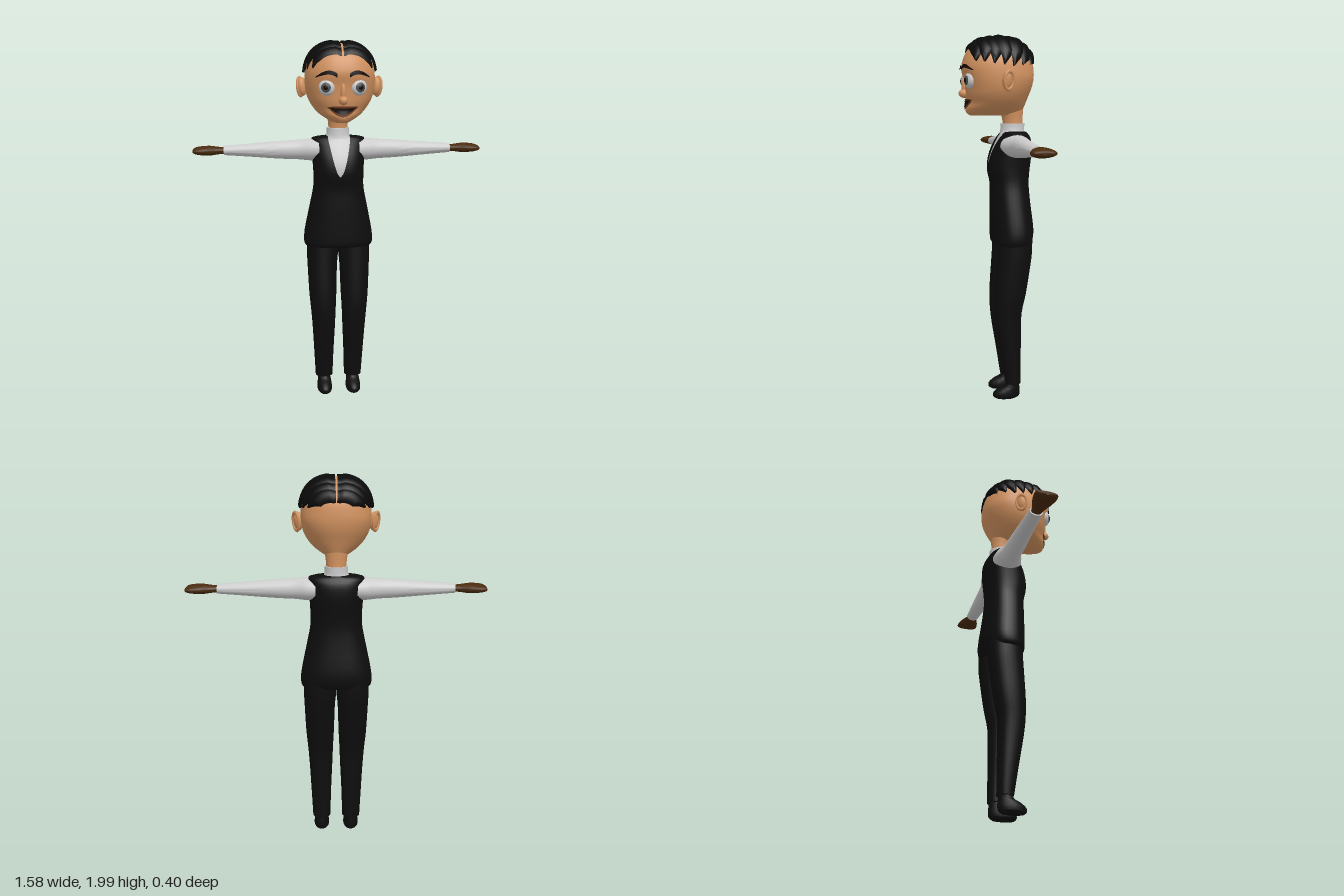
import * as THREE from 'three';
import { toCreasedNormals } from 'three/addons/utils/BufferGeometryUtils.js';

const mat = (color) => new THREE.MeshStandardMaterial({ color, side: THREE.DoubleSide, roughness: 0.9 });
const SKIN = mat(0xd2925f), BLACK = mat(0x0d0d0d), HAIR = mat(0x0a0a0a), WHITE = mat(0xdcdcdc);
const BROWN = mat(0x4a2b0e), EYE = mat(0xd8d8d8), IRIS = mat(0x4c5052), DARK = mat(0x140a06), LIP = mat(0x6a3820);

function mesh(parent, name, geometry, material) {
  const m = new THREE.Mesh(geometry, material);
  m.name = name;
  parent.add(m);
  return m;
}

// Grid surface from a point function; at(j, i) returns [x, y, z]
function grid(rows, cols, at, caps = false) {
  const pos = [], idx = [];
  for (let j = 0; j <= rows; j++) for (let i = 0; i <= cols; i++) pos.push(...at(j, i));
  const id = (j, i) => j * (cols + 1) + i;
  for (let j = 0; j < rows; j++) for (let i = 0; i < cols; i++) {
    idx.push(id(j, i), id(j, i + 1), id(j + 1, i), id(j, i + 1), id(j + 1, i + 1), id(j + 1, i));
  }
  if (caps) for (const j of [0, rows]) {
    const c = [0, 0, 0];
    for (let i = 0; i < cols; i++) for (let k = 0; k < 3; k++) c[k] += pos[id(j, i) * 3 + k] / cols;
    const n = pos.length / 3;
    pos.push(...c);
    for (let i = 0; i < cols; i++) idx.push(n, ...(j ? [id(j, i), id(j, i + 1)] : [id(j, i + 1), id(j, i)]));
  }
  const g = new THREE.BufferGeometry();
  g.setAttribute('position', new THREE.Float32BufferAttribute(pos, 3));
  g.setIndex(idx);
  return toCreasedNormals(g, 0.9);
}

// Smooth interpolation between cross-section rows
function smooth(rows, sub = 3) {
  const out = [], last = rows.length - 1;
  for (let j = 0; j < last; j++) {
    const [a, b, c, d] = [rows[Math.max(j - 1, 0)], rows[j], rows[j + 1], rows[Math.min(j + 2, last)]];
    for (let k = 0; k < sub; k++) {
      const t = k / sub;
      out.push(b.map((v, n) => v + 0.5 * t * (c[n] - a[n] + t * (2 * a[n] - 5 * v + 4 * c[n] - d[n]
        + t * (3 * (v - c[n]) + d[n] - a[n])))));
    }
  }
  out.push(rows[last]);
  return out;
}

// Loft of superellipses; row = [y, halfWidth, zFront, zBack, power, xCentre]; gap(y) opens the front
function loft(rows, gap = null, seg = 28) {
  const R = smooth(rows);
  const pw = (v, e) => Math.sign(v) * Math.pow(Math.abs(v), e);
  return grid(R.length - 1, seg, (j, i) => {
    const [y, rx, zf, zb, p, cx] = R[j];
    const a0 = gap ? Math.asin(Math.min(1, Math.pow(gap(y) / rx, p / 2))) : 0;
    const a = a0 + (2 * Math.PI - 2 * a0) * i / seg;
    return [cx + rx * pw(Math.sin(a), 2 / p), y, (zf + zb) / 2 + (zf - zb) / 2 * pw(Math.cos(a), 2 / p)];
  }, !gap);
}

// Head sections: jaw and cheeks, then a rounded box-like skull
const headRows = [
  [1.572, 0.045, 0.145, -0.11, 2, 0], [1.585, 0.07, 0.165, -0.135, 2, 0], [1.61, 0.108, 0.172, -0.145, 2, 0],
  [1.64, 0.138, 0.165, -0.157, 2, 0], [1.68, 0.164, 0.172, -0.172, 2.1, 0], [1.72, 0.179, 0.175, -0.187, 2.2, 0],
  [1.77, 0.186, 0.18, -0.196, 2.4, 0],
];
for (const t of [0.2, 0.4, 0.6, 0.75, 0.87, 0.95, 0.99]) {
  const k = Math.pow(1 - Math.pow(t, 2.5), 0.4);
  headRows.push([1.78 + 0.203 * t, 0.186 * k, 0.192 * k, -0.196 * k, 2.4, 0]);
}

function faceZ(x, y) {
  let j = 0;
  while (j < headRows.length - 2 && headRows[j + 1][0] < y) j++;
  const a = headRows[j], b = headRows[j + 1], t = (y - a[0]) / (b[0] - a[0]);
  const [, rx, zf, zb, p] = a.map((v, n) => v + (b[n] - v) * t);
  return (zf + zb) / 2 + (zf - zb) / 2 * Math.pow(Math.max(0, 1 - Math.pow(Math.abs(x) / rx, p)), 1 / p);
}

// Patch lying on the face between two edge curves
const facePatch = (x0, x1, low, high, lift) => grid(4, 14, (j, i) => {
  const t = i / 14, x = x0 + (x1 - x0) * t, y = low(t) + (high(t) - low(t)) * j / 4;
  return [x, y, faceZ(x, y) + lift];
});

// Lock of hair combed from the centre part down one side
function hairLock(s, n, phi, half, tip) {
  const p = 2.5, rad = [0.195, 0.212, 0.204];
  return grid(14, 6, (j, i) => {
    const u = j / 14, v = i / 3 - 1;
    const taper = u > 0.72 ? 1 - 0.92 * (u - 0.72) / 0.28 : 1;
    const start = 0.03 + (phi < -0.7 ? 0.15 : 0) * u;
    const th = start + (tip - start) * u;
    const f = phi + half * v * taper - 0.14 * Math.sin(u * 1.5) * Math.sign(phi + 0.3) + (u > 0.72 ? (u - 0.72) * 0.35 : 0);
    const d = [s * Math.sin(th) * Math.cos(f), Math.cos(th) * Math.cos(f), Math.sin(f)];
    const r = Math.pow(d.reduce((q, c, k) => q + Math.pow(Math.abs(c) / rad[k], p), 0), -1 / p);
    const bulge = 0.975 + 0.045 * (1 - v * v) + 0.012 * v + 0.012 * (n % 2) - 0.03 * (u < 0.08 ? 1 : 0);
    return [d[0] * r * bulge, 1.78 + d[1] * r * bulge, d[2] * r * bulge];
  });
}

function buildHead() {
  const head = new THREE.Group();
  head.name = 'head';
  mesh(head, 'skull', loft(headRows, null, 40), SKIN);
  mesh(head, 'neck', loft([[1.46, 0.056, -0.03, -0.145, 2, 0], [1.54, 0.053, -0.033, -0.142, 2, 0],
    [1.62, 0.065, -0.01, -0.145, 2, 0]]), SKIN);
  const nose = mesh(head, 'nose', new THREE.SphereGeometry(1, 18, 12), SKIN);
  nose.scale.set(0.024, 0.024, 0.03);
  nose.position.set(0, 1.69, 0.178);
  const bridge = mesh(head, 'noseBridge', new THREE.SphereGeometry(1, 14, 10), SKIN);
  bridge.scale.set(0.014, 0.05, 0.016);
  bridge.position.set(0, 1.73, 0.176);
  mesh(head, 'lips', facePatch(-0.08, 0.08, (t) => 1.655 - 0.05 * Math.sin(Math.PI * t),
    (t) => 1.657 + 0.004 * Math.sin(Math.PI * t), 0.005), LIP);
  mesh(head, 'mouth', facePatch(-0.068, 0.068, (t) => 1.652 - 0.035 * Math.sin(Math.PI * t),
    (t) => 1.653 - 0.004 * Math.sin(Math.PI * t), 0.008), DARK);

  for (const s of [1, -1]) {
    // Eye with iris and pupil as stacked flattened domes
    const eye = new THREE.Group();
    eye.name = s > 0 ? 'leftEye' : 'rightEye';
    eye.position.set(s * 0.083, 1.757, 0.158);
    eye.rotation.y = s * 0.3;
    [['eyeball', 0.043, 0.026, 0, EYE], ['iris', 0.029, 0.016, 0.013, IRIS], ['pupil', 0.017, 0.011, 0.02, DARK]]
      .forEach(([name, r, depth, z, m]) => {
        const ball = mesh(eye, name, new THREE.SphereGeometry(1, 24, 14), m);
        ball.scale.set(r, r, depth);
        ball.position.z = z;
      });
    head.add(eye);

    const x0 = s > 0 ? 0.032 : -0.14, x1 = s > 0 ? 0.14 : -0.032;
    const out = (t) => (s > 0 ? t : 1 - t);
    const arch = (t) => 1.806 + 0.016 * Math.sin(Math.PI * Math.pow(out(t), 0.8));
    mesh(head, 'eyebrow', facePatch(x0, x1, arch, (t) => arch(t) + 0.021 * (1 - 0.8 * out(t) ** 3), 0.008), DARK);

    const ear = new THREE.Group();
    ear.name = s > 0 ? 'leftEar' : 'rightEar';
    ear.position.set(s * 0.198, 1.755, -0.022);
    ear.rotation.set(0, s * 0.55, -s * 0.1);
    mesh(ear, 'earLobe', new THREE.SphereGeometry(1, 18, 14), SKIN).scale.set(0.022, 0.05, 0.03);
    const rim = mesh(ear, 'earRim', new THREE.TorusGeometry(0.03, 0.007, 8, 24), SKIN);
    rim.rotation.y = Math.PI / 2;
    rim.scale.set(1, 1.55, 1);
    rim.position.x = s * 0.014;
    head.add(ear);

    // Side-combed hair, front to back
    [[0.72, 1.12], [0.5, 1.2], [0.26, 1.26], [0.0, 1.3], [-0.26, 1.33], [-0.52, 1.32], [-0.78, 1.28], [-1.02, 1.2]]
      .forEach(([phi, tip], n) => mesh(head, 'hairLock', hairLock(s, n, phi, 0.17, tip), HAIR));
  }
  return head;
}

function buildTorso() {
  const torso = new THREE.Group();
  torso.name = 'torso';
  mesh(torso, 'shirt', loft([
    [1.18, 0.12, 0.022, -0.155, 2.3, 0], [1.3, 0.125, 0.044, -0.165, 2.3, 0], [1.38, 0.13, 0.026, -0.17, 2.3, 0],
    [1.45, 0.12, -0.006, -0.162, 2.3, 0], [1.478, 0.068, -0.018, -0.152, 2, 0], [1.53, 0.062, -0.022, -0.152, 2, 0],
  ]), WHITE);
  // Waistcoat with a deep rounded neckline
  const neckline = (y) => (y <= 1.27 ? 0 : 0.06 * Math.pow(Math.min(1, (y - 1.27) / 0.2), 0.6));
  mesh(torso, 'waistcoat', loft([
    [0.87, 0.172, 0.015, -0.165, 2.4, 0], [0.885, 0.19, 0.03, -0.185, 2.4, 0], [0.95, 0.19, 0.033, -0.197, 2.4, 0],
    [1.1, 0.16, 0.035, -0.18, 2.4, 0], [1.2, 0.14, 0.036, -0.172, 2.4, 0], [1.27, 0.138, 0.05, -0.176, 2.4, 0],
    [1.32, 0.14, 0.05, -0.182, 2.4, 0], [1.38, 0.144, 0.036, -0.187, 2.4, 0], [1.44, 0.145, 0.007, -0.183, 2.4, 0],
    [1.475, 0.143, -0.02, -0.165, 2.4, 0], [1.486, 0.068, -0.022, -0.155, 2, 0],
  ], neckline, 40), BLACK);
  return torso;
}

function buildLimbs(s) {
  const limbs = new THREE.Group(), cy = -s * 1.41;
  limbs.name = s > 0 ? 'leftLimbs' : 'rightLimbs';
  // Arms are lofted upright and laid out sideways
  const sleeve = mesh(limbs, 'sleeve', loft([
    [0.11, 0.06, 0.0, -0.165, 2, cy], [0.16, 0.06, -0.015, -0.16, 2, cy], [0.22, 0.054, -0.033, -0.142, 2, cy],
    [0.32, 0.049, -0.037, -0.136, 2, cy], [0.48, 0.036, -0.045, -0.13, 2, cy], [0.625, 0.025, -0.051, -0.123, 2, cy],
  ]), WHITE);
  const hand = mesh(limbs, 'hand', loft([
    [0.6, 0.017, -0.063, -0.112, 2, cy], [0.65, 0.02, -0.055, -0.12, 2, cy], [0.7, 0.026, -0.038, -0.137, 2, cy],
    [0.75, 0.023, -0.026, -0.147, 2.2, cy], [0.78, 0.016, -0.028, -0.146, 2.4, cy], [0.79, 0.009, -0.04, -0.135, 2.4, cy],
  ]), BROWN);
  sleeve.rotation.z = hand.rotation.z = -s * Math.PI / 2;

  mesh(limbs, 'trouserLeg', loft([
    [0.09, 0.049, -0.035, -0.12, 2.3, s * 0.083], [0.25, 0.056, -0.01, -0.12, 2.3, s * 0.085],
    [0.4, 0.064, 0.015, -0.12, 2.3, s * 0.086], [0.5, 0.07, 0.025, -0.124, 2.3, s * 0.088],
    [0.6, 0.077, 0.025, -0.145, 2.3, s * 0.09], [0.75, 0.083, 0.015, -0.168, 2.3, s * 0.091],
    [0.83, 0.088, 0.01, -0.178, 2.3, s * 0.089], [0.93, 0.09, 0.005, -0.18, 2.3, s * 0.088],
  ]), BLACK);
  mesh(limbs, 'shoe', loft([
    [0.003, 0.032, 0.02, -0.095, 2, s * 0.083], [0.015, 0.041, 0.034, -0.112, 2, s * 0.083],
    [0.035, 0.042, 0.032, -0.117, 2, s * 0.083], [0.058, 0.039, 0.005, -0.116, 2, s * 0.083],
    [0.08, 0.035, -0.035, -0.113, 2, s * 0.083], [0.12, 0.034, -0.042, -0.11, 2, s * 0.083],
  ]), BLACK);
  return limbs;
}

export function createModel() {
  const model = new THREE.Group();
  model.name = 'figure';
  model.add(buildHead(), buildTorso(), buildLimbs(1), buildLimbs(-1));
  return model;
}
